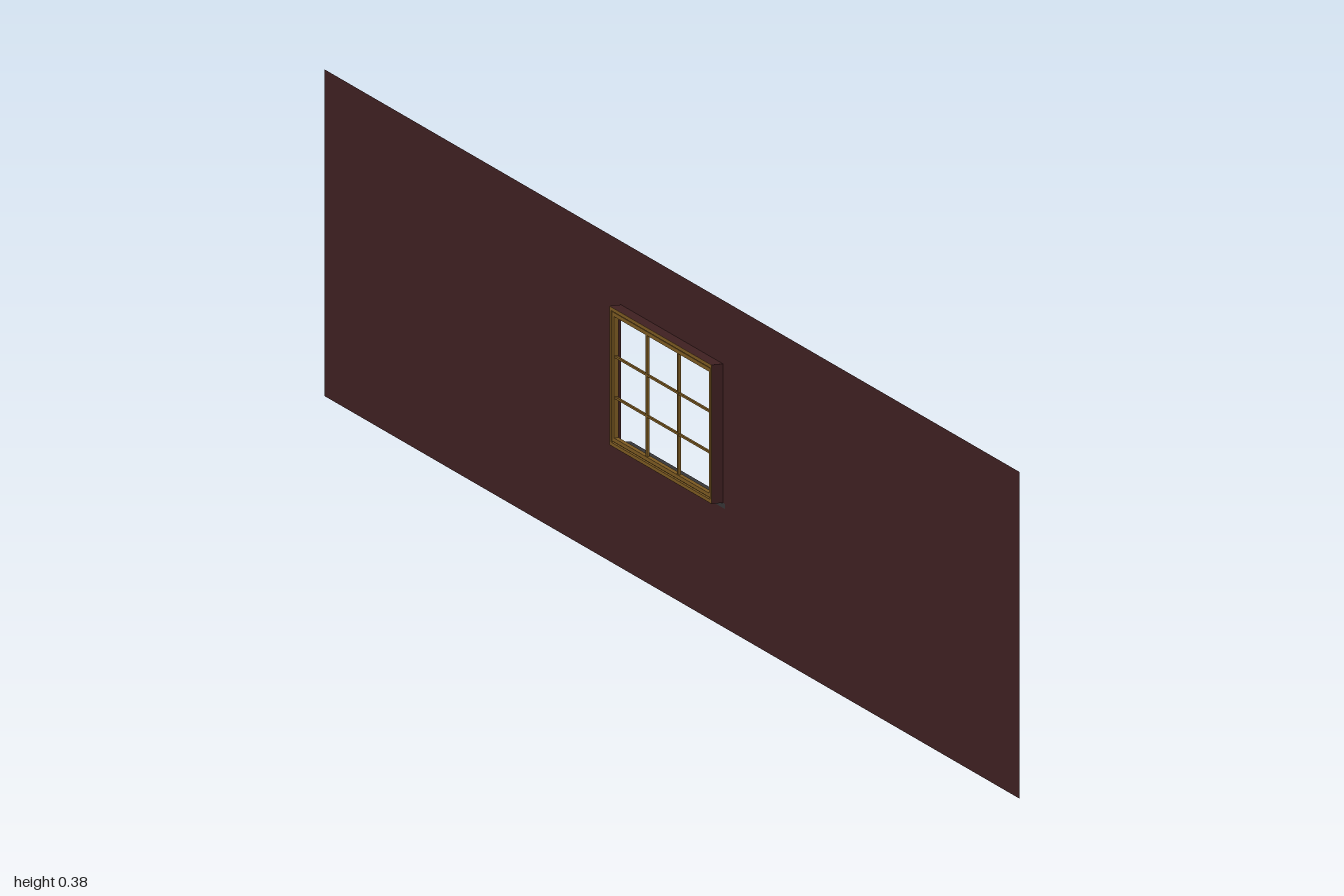
import * as THREE from 'three';

export function createModel() {
  const model = new THREE.Group();
  const material = (name, color, side = THREE.FrontSide) => {
    const m = new THREE.MeshStandardMaterial({ color, side });
    m.name = name;
    return m;
  };
  const brick = material('dark red brick', 0x3f2021, THREE.DoubleSide);
  const stone = material('dark grey stone', 0x363536);
  const wood = material('golden wood', 0x7c5a22);
  const trim = material('dark trim', 0x33230f);
  const patch = material('grey patch', 0x3b3435, THREE.DoubleSide);

  const add = (name, geometry, mat, parent = model) => {
    const mesh = new THREE.Mesh(geometry, mat);
    mesh.name = name;
    parent.add(mesh);
    return mesh;
  };
  // Box given by its lower and upper corners
  const box = (name, mat, [x0, y0, z0], [x1, y1, z1], parent) =>
    add(name, new THREE.BoxGeometry(x1 - x0, y1 - y0, z1 - z0), mat, parent)
      .position.set((x0 + x1) / 2, (y0 + y1) / 2, (z0 + z1) / 2);

  const W = 0.147, BOTTOM = 0.1425, TOP = 0.302, DEPTH = 0.014;

  // Rectangle outline, used for the wall, its opening and the frames
  const rect = (half, y0, y1, Type = THREE.Shape) => new Type([
    [-half, y0], [half, y0], [half, y1], [-half, y1],
  ].map(([x, y]) => new THREE.Vector2(x, y)));

  // Thin wall with a window opening
  const wallShape = rect(1, 0, 0.375);
  wallShape.holes.push(rect(W, BOTTOM, TOP, THREE.Path));
  add('wall', new THREE.ShapeGeometry(wallShape).rotateY(Math.PI / 2), brick);

  // Brick reveal lining the opening behind the wall
  const reveal = new THREE.Group();
  reveal.name = 'windowReveal';
  model.add(reveal);
  for (const y of [BOTTOM, TOP]) {
    add(y === TOP ? 'revealTop' : 'revealBottom',
      new THREE.PlaneGeometry(DEPTH, 2 * W).rotateX(-Math.PI / 2), brick, reveal)
      .position.set(-DEPTH / 2, y, 0);
  }
  for (const s of [-1, 1]) {
    add(s > 0 ? 'revealLeft' : 'revealRight',
      new THREE.PlaneGeometry(DEPTH, TOP - BOTTOM), brick, reveal)
      .position.set(-DEPTH / 2, (BOTTOM + TOP) / 2, s * W);
  }

  // Window: golden frames parted by a dark trim, and glazing bars
  const windowGroup = new THREE.Group();
  windowGroup.name = 'window';
  model.add(windowGroup);
  const ring = (name, mat, inset, width, x0, x1) => {
    const shape = rect(W - inset, BOTTOM + inset, TOP - inset);
    const d = inset + width;
    shape.holes.push(rect(W - d, BOTTOM + d, TOP - d, THREE.Path));
    const geometry = new THREE.ExtrudeGeometry(shape, { depth: x1 - x0, bevelEnabled: false });
    add(name, geometry.rotateY(Math.PI / 2), mat, windowGroup).position.x = x0;
  };
  ring('outerFrame', wood, 0.0002, 0.004, -0.014, -0.011);
  ring('frameTrim', trim, 0.0004, 0.0056, -0.011, -0.008);
  ring('innerFrame', wood, 0.0055, 0.0045, -0.0128, -0.007);

  for (const s of [-1, 1]) {
    const z = s * 0.045, y = 0.2223 + s * 0.0235, tz = 0.002, ty = 0.0012;
    box('verticalBar', wood, [-0.0122, BOTTOM + 0.01, z - tz], [-0.009, TOP - 0.01, z + tz], windowGroup);
    box('horizontalBar', wood, [-0.012, y - ty, 0.01 - W], [-0.0092, y + ty, W - 0.01], windowGroup);
  }

  // Projecting stone sill with a thin inner ledge
  box('sill', stone, [0, 0.1365, -0.153], [0.014, BOTTOM, 0.153]);
  box('sillLedge', stone, [-0.008, BOTTOM + 0.0002, -W + 0.001], [0, BOTTOM + 0.004, W - 0.001]);

  // Small worn patches at the foot of the wall
  const patchShape = new THREE.Shape([
    [-0.021, 0], [0.021, 0], [0.02, 0.012], [0.012, 0.022], [0.008, 0.033], [-0.013, 0.033], [-0.02, 0.022],
  ].map(([x, y]) => new THREE.Vector2(x, y)));
  for (const z of [0.346, -0.371]) {
    add('wallPatch', new THREE.ShapeGeometry(patchShape).rotateY(Math.PI / 2), patch)
      .position.set(0.001, 0, z);
  }
  return model;
}
